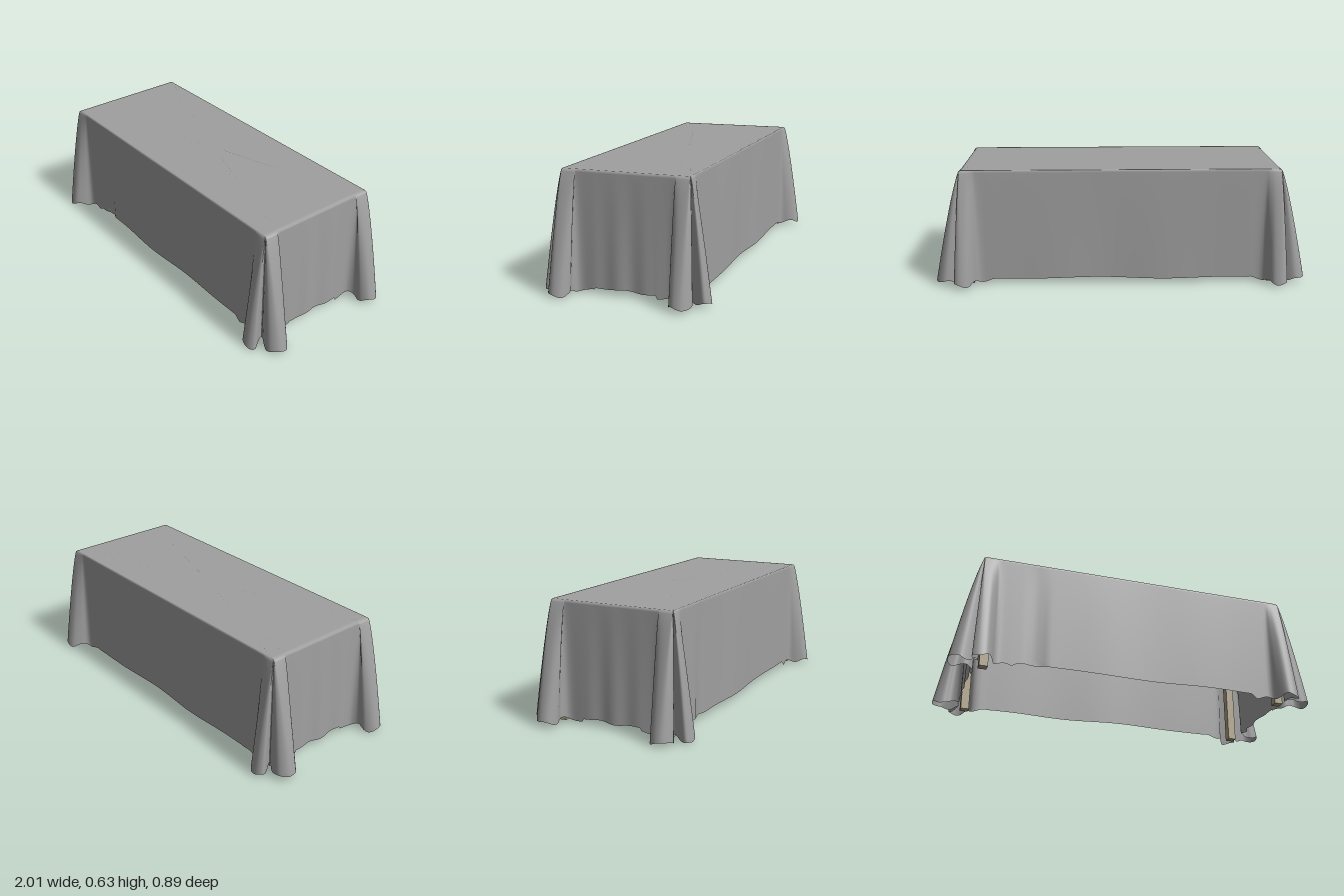
import * as THREE from 'three';

const clothMat = new THREE.MeshStandardMaterial({ color: 0xa0a0a0, side: THREE.DoubleSide });
clothMat.name = 'grey cloth';
const tableMat = new THREE.MeshStandardMaterial({ color: 0xab9f80 });
tableMat.name = 'tan table';

// Corners of the table top, in order round the hem: [x, z]
const corners = [[0.85, 0.352], [-0.865, 0.352], [-0.865, -0.328], [0.85, -0.328]];

// Hem of one corner, as outward offsets from the corner: two folds with a notch between
const fold = [
  [0.012, -0.17], [0.012, -0.09], [0.05, -0.065], [0.1, -0.075], [0.142, -0.045], [0.145, 0.005],
  [0.1, 0.042], [0.045, 0.025], [-0.002, -0.002], [0.025, 0.045], [0.042, 0.085], [0.015, 0.105],
  [-0.03, 0.1], [-0.06, 0.06], [-0.085, 0.012], [-0.17, 0.006],
];
const foldCurve = new THREE.CatmullRomCurve3(
  fold.map(([u, v]) => new THREE.Vector3(u, 0, v)), false, 'centripetal');

const bump = (d, w) => Math.exp(-(d * d) / (w * w));

// Each outline point has a place on the table edge and a place at the hem
function makeOutline() {
  const points = [];
  corners.forEach(([cx, cz], i) => {
    const sx = Math.sign(cx), sz = Math.sign(cz);
    const samples = foldCurve.getPoints(60);
    if (i % 2) samples.reverse();
    for (const p of samples) {
      points.push({
        top: [cx + sx * Math.min(p.x, 0), cz + sz * Math.min(p.z, 0)],
        hem: [cx + sx * p.x, cz + sz * p.z],
        y: (sz > 0 ? 0.012 : 0.022) + 0.01 * Math.sin(p.x * 45 + p.z * 30 + i),
      });
    }
    // Straight panel to the next corner, with soft ripples
    const a = points[points.length - 1];
    const [nx, nz] = corners[(i + 1) % 4];
    const first = fold[i % 2 ? 0 : fold.length - 1];
    const b = [nx + Math.sign(nx) * first[0], nz + Math.sign(nz) * first[1]];
    const bTop = [nx + Math.sign(nx) * Math.min(first[0], 0), nz + Math.sign(nz) * Math.min(first[1], 0)];
    const n = 40, along = i % 2 ? 0 : 1;
    for (let k = 1; k < n; k++) {
      const f = k / n, mix = (s, e) => s + (e - s) * f;
      const hem = [mix(a.hem[0], b[0]), mix(a.hem[1], b[1])];
      const ripple = 0.006 * Math.sin(f * 13 + i * 2) * Math.sin(Math.PI * f);
      const pinch = i === 0 ? 0.02 * bump(hem[0] + 0.57, 0.03) : 0;
      hem[along] += Math.sign(hem[along]) * (ripple - pinch);
      points.push({
        top: [mix(a.top[0], bTop[0]), mix(a.top[1], bTop[1])],
        hem,
        y: 0.03 + 0.006 * Math.sin(f * 9 + i) * Math.sin(Math.PI * f),
      });
    }
  });
  return points;
}

// Cloth: rings run from the middle of the top, over the edge and down to the hem
function makeCloth() {
  const outline = makeOutline(), count = outline.length;
  const topY = z => 0.63 - 0.008 * z;
  const rings = [];
  for (const s of [0, 0.5, 0.9, 0.975, 0.993]) {
    rings.push(outline.map(p => [p.top[0] * s, topY(p.top[1] * s), p.top[1] * s]));
  }
  const drops = 22;
  for (let r = 0; r <= drops; r++) {
    const t = r === 0 ? 0.012 : Math.pow(r / drops, 1.2);
    const spread = Math.pow(t, 0.8);
    rings.push(outline.map(p => [
      p.top[0] + (p.hem[0] - p.top[0]) * spread,
      topY(p.top[1]) + (p.y - topY(p.top[1])) * t,
      p.top[1] + (p.hem[1] - p.top[1]) * spread,
    ]));
  }
  const index = [];
  for (let r = 0; r < rings.length - 1; r++) {
    for (let k = 0; k < count; k++) {
      const n = (k + 1) % count;
      const a = r * count + k, b = r * count + n, c = a + count, d = b + count;
      if (r > 0) index.push(a, b, c);
      index.push(b, d, c);
    }
  }
  const geo = new THREE.BufferGeometry();
  geo.setAttribute('position', new THREE.Float32BufferAttribute(rings.flat(2), 3));
  geo.setIndex(index);
  geo.computeVertexNormals();
  // The collapsed middle of the top points straight up
  for (let k = 0; k < count; k++) geo.attributes.normal.setXYZ(k, 0, 1, 0);
  return geo;
}

function addBox(group, name, size, pos) {
  const mesh = new THREE.Mesh(new THREE.BoxGeometry(...size), tableMat);
  mesh.name = name;
  mesh.position.set(...pos);
  group.add(mesh);
}

export function createModel() {
  const model = new THREE.Group();
  model.name = 'drapedTable';

  const cloth = new THREE.Mesh(makeCloth(), clothMat);
  cloth.name = 'tablecloth';
  model.add(cloth);

  // Table hidden under the cloth
  const table = new THREE.Group();
  table.name = 'table';
  addBox(table, 'tableTop', [1.68, 0.03, 0.65], [-0.0075, 0.605, 0.012]);
  for (const [x, z] of corners) {
    addBox(table, 'tableLeg', [0.045, 0.6, 0.045],
      [x - Math.sign(x) * 0.032, 0.3, z - Math.sign(z) * 0.032]);
  }
  model.add(table);
  return model;
}
